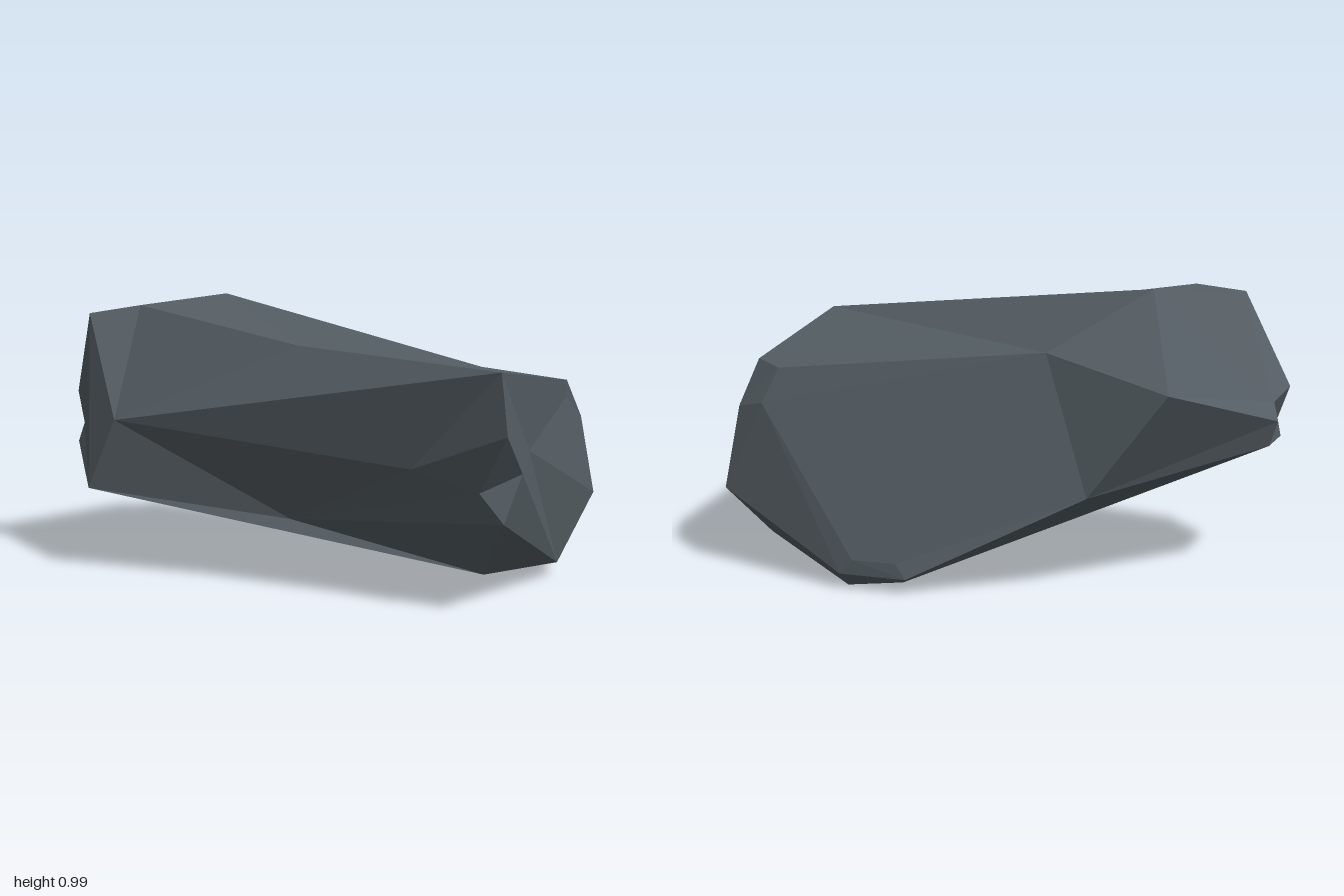
import * as THREE from 'three';
import { ConvexGeometry } from 'three/addons/geometries/ConvexGeometry.js';

// Outer corners of the boulder
const corners = [
  // back peak, top ridge and upper right corner
  [-0.43, 0.67, -0.83], [-0.44, 0.99, -0.57], [-0.90, 0.94, -0.10],
  // front nose and lower front edge
  [0.58, 0.82, 0.80], [0.60, 0.62, 0.83], [0.60, 0.32, 0.73], [0.55, 0.10, 0.50], [-0.88, 0.31, 0.09],
  // chipped corner at the right end
  [-1.0, 0.62, -0.33], [-0.99, 0.43, -0.27], [-0.89, 0.53, -0.54], [-0.87, 0.44, -0.51],
  // left end
  [0.87, 0.71, 0], [0.80, 0.70, -0.19], [0.94, 0.56, -0.13], [0.86, 0.58, -0.21], [0.995, 0.27, -0.14], [0.84, 0.05, 0.09],
  // small chip on the lower back
  [0.40, 0.05, -0.65], [0.43, 0.10, -0.63], [0.57, 0.10, -0.56],
  [0.61, 0.05, -0.54], [0.58, 0, -0.50], [0.40, 0.02, -0.57],
];

// Corners in hollows: position, and the offset that lifts them clear while faceting
const dents = [
  { at: [-0.71, 0.97, -0.11], lift: [-0.047, 0.06, 0.10] }, // upper right corner
  { at: [-0.09, 0.86, 0.33], lift: [-0.035, 0.085, 0.075] }, // upper front edge
  { at: [-0.77, 0.57, 0.14], lift: [-0.03, 0, 0.063] }, // right side of the front
  { at: [-0.12, 0.24, 0.28], lift: [-0.078, 0, 0.169] }, // lower front edge
  { at: [0.30, 0.48, 0.62], lift: [-0.048, 0, 0.103] }, // front face
  { at: [0.52, 0.42, 0.72], lift: [-0.02, 0, 0.08] }, // nose chip
  { at: [0.66, 0.48, 0.69], lift: [0.04, 0, 0.09] }, // nose chip
  { at: [0.70, 0.52, 0.46], lift: [0.15, 0, 0.06] }, // left flank
  { at: [0.87, 0.65, 0], lift: [0.04, 0, 0.01] }, // left end chip
  { at: [-0.97, 0.50, -0.29], lift: [-0.05, 0, 0] }, // right end chip
  { at: [-0.90, 0.585, -0.46], lift: [-0.06, 0.015, -0.02] }, // right end chip
  { at: [-0.07, 0.79, -0.62], lift: [0, 0.12, -0.04] }, // upper back edge
  { at: [-0.19, 0.32, -0.72], lift: [0, 0, -0.14] }, // lower back edge
];

// Facet the lifted corners as a hull, then press the dents back in
function boulderGeometry() {
  const points = corners.map((c) => ({ hull: new THREE.Vector3(...c), final: new THREE.Vector3(...c) }));
  for (const { at, lift } of dents) {
    const final = new THREE.Vector3(...at);
    points.push({ hull: final.clone().add(new THREE.Vector3(...lift)), final });
  }
  const geometry = new ConvexGeometry(points.map((p) => p.hull));
  const position = geometry.attributes.position;
  const v = new THREE.Vector3();
  for (let i = 0; i < position.count; i++) {
    v.fromBufferAttribute(position, i);
    const match = points.find((p) => p.hull.distanceTo(v) < 1e-4);
    position.setXYZ(i, match.final.x, match.final.y, match.final.z);
  }
  geometry.computeVertexNormals();
  return geometry;
}

export function createModel() {
  const group = new THREE.Group();
  group.name = 'boulder';
  const stone = new THREE.MeshStandardMaterial({ color: 0x545d63, flatShading: true });
  stone.name = 'slate grey stone';
  const rock = new THREE.Mesh(boulderGeometry(), stone);
  rock.name = 'rock';
  group.add(rock);
  return group;
}
